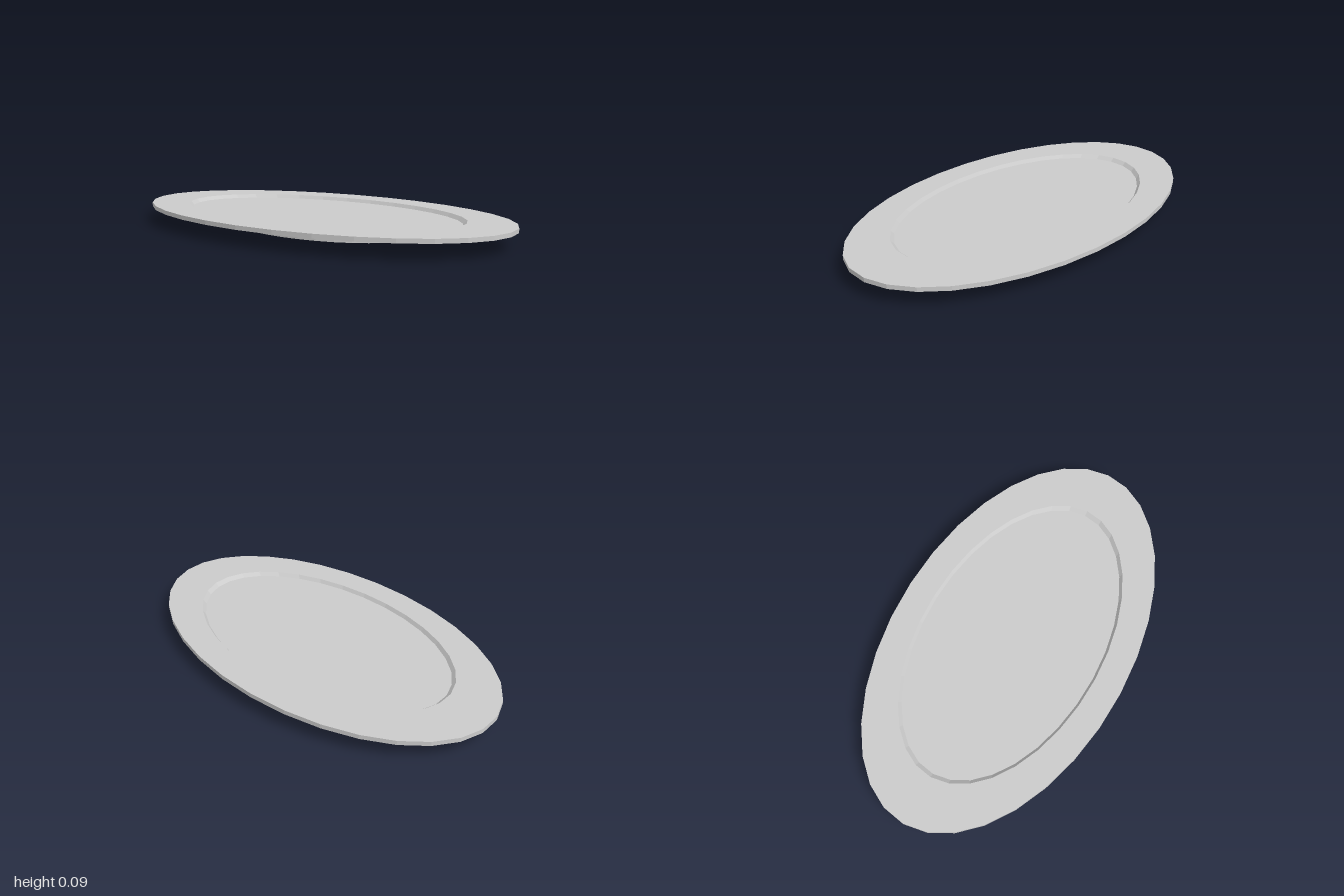
import * as THREE from 'three';

const SEGMENTS = 32;
const DEPTH_RATIO = 0.57; // ellipse depth relative to its width

// Faceted elliptical ring or disc from a half profile of [radius, height]
function ovalLathe(name, profile, material) {
  const points = profile.map(([r, y]) => new THREE.Vector2(r, y));
  const geometry = new THREE.LatheGeometry(points, SEGMENTS);
  geometry.scale(1, 1, DEPTH_RATIO);
  geometry.computeVertexNormals();
  const mesh = new THREE.Mesh(geometry, material);
  mesh.name = name;
  return mesh;
}

export function createModel() {
  const group = new THREE.Group();
  group.name = 'ovalPlatter';
  const material = new THREE.MeshStandardMaterial({ color: 0xcccccc, flatShading: true });

  // Solid foot with a flat base
  group.add(ovalLathe('foot', [[0, 0], [0.485, 0], [0.485, 0.025]], material));

  // Sloping underside, upright edge and flat rim
  group.add(ovalLathe('rim', [[0.485, 0.025], [1, 0.072], [1, 0.092], [0.765, 0.092]], material));

  // Shallow sunken well with a slanted wall
  group.add(ovalLathe('well', [[0.765, 0.092], [0.745, 0.075], [0, 0.075]], material));

  return group;
}
